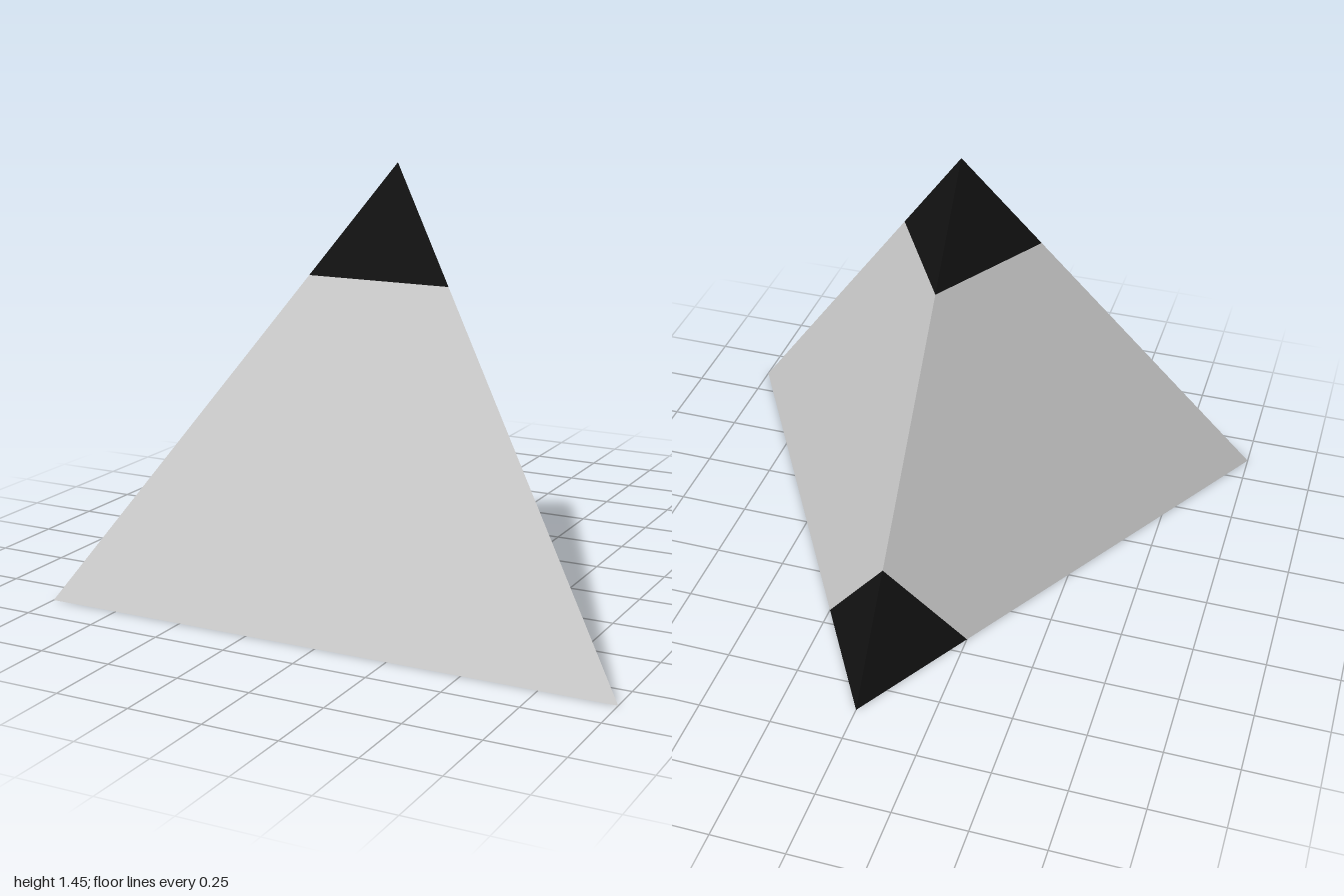
import * as THREE from 'three';

// Flat-shaded mesh from convex polygons, corners counter-clockwise seen from outside
function facetedMesh(name, polygons, color) {
  const triangles = [];
  for (const p of polygons) {
    for (let i = 1; i < p.length - 1; i++) triangles.push(p[0], p[i], p[i + 1]);
  }
  const geometry = new THREE.BufferGeometry().setFromPoints(triangles);
  geometry.computeVertexNormals();
  const mesh = new THREE.Mesh(geometry, new THREE.MeshStandardMaterial({ color, flatShading: true }));
  mesh.name = name;
  return mesh;
}

export function createModel() {
  const group = new THREE.Group();
  group.name = 'tippedTetrahedron';

  // Corners of the tetrahedron
  const right = new THREE.Vector3(1, 0, 0.866);
  const left = new THREE.Vector3(-1, 0, 0.866);
  const back = new THREE.Vector3(0, 0, -0.866);
  const apex = new THREE.Vector3(0, 1.45, 0.289);

  // Dark tips reach a quarter of the way along each edge
  const cut = (from, to) => from.clone().lerp(to, 0.25);
  const apexR = cut(apex, right), apexL = cut(apex, left), apexB = cut(apex, back);
  const backR = cut(back, right), backL = cut(back, left), backA = cut(back, apex);

  // Body: front, two sides and underside
  group.add(facetedMesh('body', [
    [left, right, apexR, apexL],
    [right, backR, backA, apexB, apexR],
    [left, apexL, apexB, backA, backL],
    [left, backL, backR, right],
  ], 0xcccccc));

  // Tip at the top
  group.add(facetedMesh('topTip', [
    [apexL, apexR, apex],
    [apexR, apexB, apex],
    [apexB, apexL, apex],
  ], 0x111111));

  // Tip at the back corner
  group.add(facetedMesh('backTip', [
    [backL, back, backR],
    [backR, back, backA],
    [backA, back, backL],
  ], 0x111111));

  return group;
}
